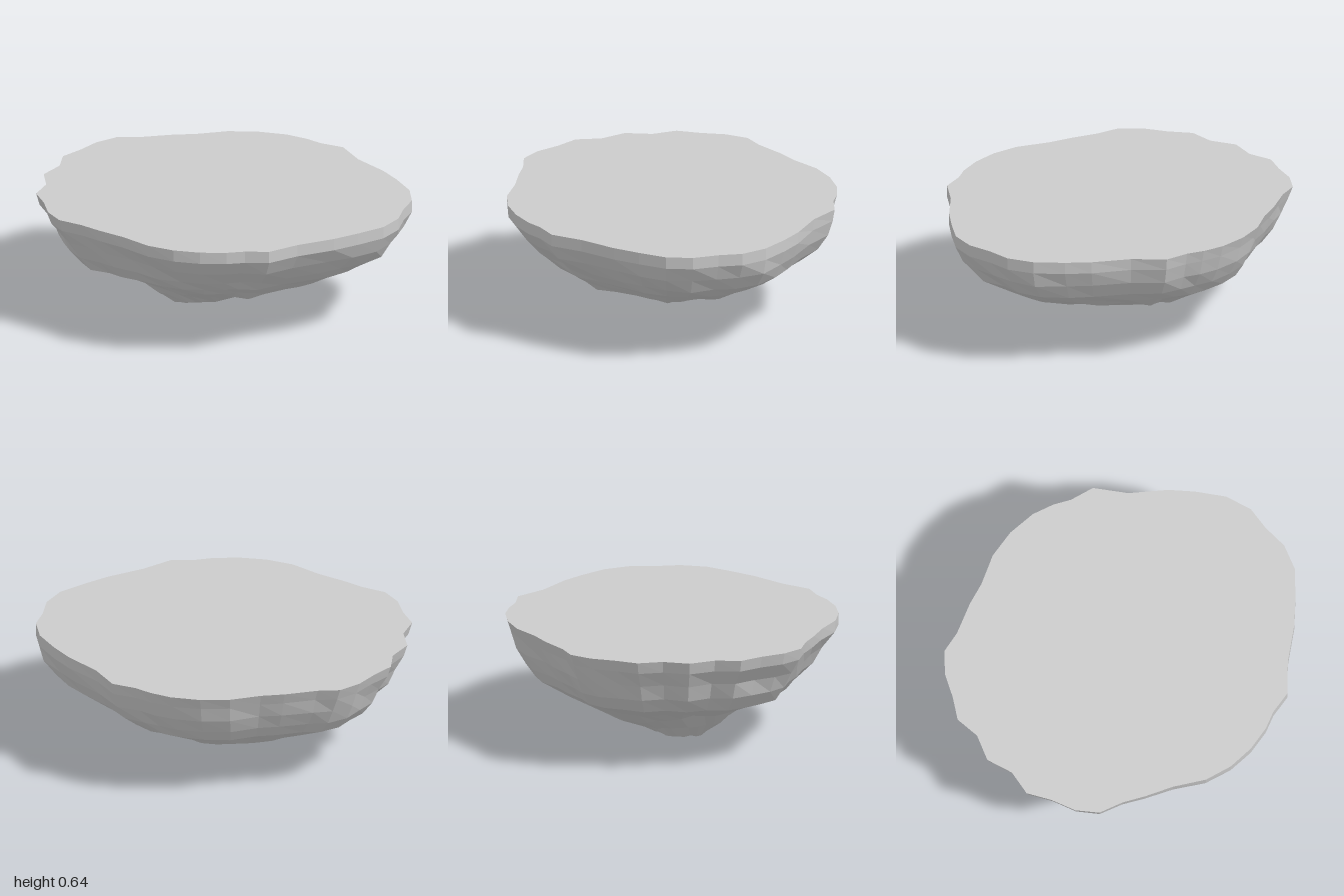
import * as THREE from 'three';

// Outline of the flat top as x, z pairs, running from the left side round by the front
const RIM = [
  0.995, 0.05, 0.995, 0.2, 0.94, 0.32, 0.9, 0.455, 0.81, 0.57, 0.67, 0.65, 0.53, 0.72, 0.33, 0.79,
  0.17, 0.875, 0.04, 0.86, -0.06, 0.87, -0.2, 0.855, -0.34, 0.81, -0.47, 0.73, -0.59, 0.595, -0.71, 0.49,
  -0.8, 0.4, -0.91, 0.32, -0.96, 0.2, -0.97, 0.06, -1, -0.075, -0.935, -0.2, -0.935, -0.35, -0.84, -0.465,
  -0.81, -0.6, -0.71, -0.685, -0.615, -0.785, -0.5, -0.85, -0.38, -0.84, -0.2, -0.86, -0.07, -0.86, 0.1, -0.885,
  0.26, -0.865, 0.41, -0.81, 0.51, -0.74, 0.58, -0.67, 0.695, -0.6, 0.76, -0.42, 0.88, -0.24, 0.94, -0.11,
];

// Underside profiles towards +x, +z, -x, -z: [fraction of rim distance, height]
const PROFILES = [
  [[1, 0.635], [1, 0.57], [0.97, 0.485], [0.91, 0.4], [0.8, 0.33], [0.68, 0.27], [0.56, 0.225], [0.36, 0.215], [0.18, 0.1]],
  [[1, 0.635], [1, 0.57], [0.93, 0.485], [0.84, 0.4], [0.77, 0.34], [0.7, 0.29], [0.6, 0.235], [0.37, 0.16], [0.18, 0.08]],
  [[1, 0.635], [0.98, 0.57], [0.92, 0.485], [0.88, 0.395], [0.8, 0.31], [0.62, 0.26], [0.45, 0.19], [0.35, 0.11], [0.25, 0.03]],
  [[1, 0.635], [0.97, 0.57], [0.94, 0.485], [0.9, 0.4], [0.84, 0.33], [0.65, 0.235], [0.47, 0.14], [0.23, 0.065], [0.16, 0.04]],
];

const TIP = [-0.04, 0, -0.02];
const COUNT = RIM.length / 2;
const RINGS = PROFILES[0].length;

function seeded(seed) {
  return () => {
    seed = (seed * 16807) % 2147483647;
    return (seed / 2147483647) * 2 - 1;
  };
}

// Turn indexed triangles into a faceted mesh
function facetedMesh(name, positions, indices, material) {
  const geometry = new THREE.BufferGeometry();
  geometry.setAttribute('position', new THREE.Float32BufferAttribute(positions, 3));
  geometry.setIndex(indices);
  const faceted = geometry.toNonIndexed();
  faceted.computeVertexNormals();
  const mesh = new THREE.Mesh(faceted, material);
  mesh.name = name;
  return mesh;
}

export function createModel() {
  const group = new THREE.Group();
  group.name = 'floatingRock';
  const material = new THREE.MeshStandardMaterial({ color: 0xcccccc, flatShading: true });
  const noise = seeded(41);

  // Rocky underside: rings shrinking from the rim to the tip
  const points = [];
  const faces = [];
  for (let r = 0; r < RINGS; r++) {
    for (let i = 0; i < COUNT; i++) {
      const dx = RIM[i * 2] - TIP[0];
      const dz = RIM[i * 2 + 1] - TIP[2];
      const turn = ((Math.atan2(dz, dx) / (Math.PI / 2)) + 4) % 4;
      const side = Math.floor(turn) % 4;
      const blend = THREE.MathUtils.smoothstep(turn - Math.floor(turn), 0, 1);
      const a = PROFILES[side][r];
      const b = PROFILES[(side + 1) % 4][r];
      const rough = r > 1 ? 1 : 0;
      const f = THREE.MathUtils.lerp(a[0], b[0], blend) + rough * noise() * 0.012;
      const y = THREE.MathUtils.lerp(a[1], b[1], blend) + (r > 4 ? noise() * 0.008 : 0);
      points.push(TIP[0] + dx * f, y, TIP[2] + dz * f);
    }
  }
  const tipIndex = points.length / 3;
  points.push(...TIP);
  for (let r = 0; r < RINGS; r++) {
    for (let i = 0; i < COUNT; i++) {
      const next = (i + 1) % COUNT;
      const a = r * COUNT + i;
      const b = r * COUNT + next;
      if (r === RINGS - 1) faces.push(a, b, tipIndex);
      else faces.push(a, b, a + COUNT, b, b + COUNT, a + COUNT);
    }
  }
  group.add(facetedMesh('rockyUnderside', points, faces, material));

  // Flat top: a fan sharing the rim
  const topPoints = [...points.slice(0, COUNT * 3), 0, 0.637, 0];
  const topFaces = [];
  for (let i = 0; i < COUNT; i++) topFaces.push(COUNT, (i + 1) % COUNT, i);
  group.add(facetedMesh('flatTop', topPoints, topFaces, material));

  return group;
}
